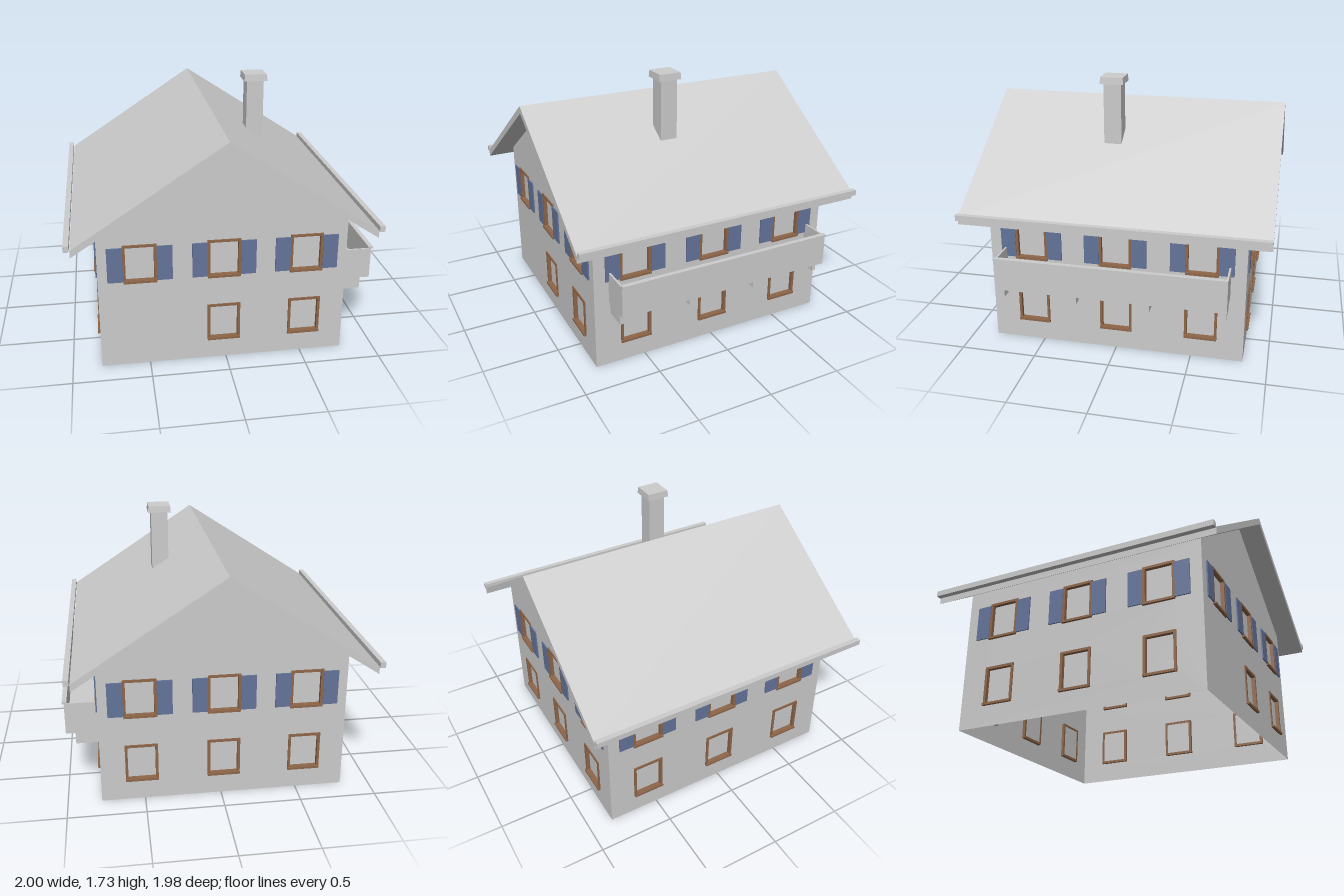
import * as THREE from 'three';

const plaster = new THREE.MeshStandardMaterial({ color: 0xcccccc, side: THREE.DoubleSide });
plaster.name = 'plaster grey';
const wood = new THREE.MeshStandardMaterial({ color: 0x8f674a });
wood.name = 'window wood brown';
const blue = new THREE.MeshStandardMaterial({ color: 0x64749a });
blue.name = 'shutter blue';

const HALF_W = 0.797, HALF_D = 0.84, WALL_H = 0.963, RIDGE = 1.484, SPACING = 0.532;
const WIN_W = 0.212, WIN_H = 0.258, BORDER = 0.017;

function add(parent, name, geometry, material) {
  const mesh = new THREE.Mesh(geometry, material);
  mesh.name = name;
  parent.add(mesh);
  return mesh;
}

// Box given by its lower and upper limits on each axis
function box(parent, name, material, x0, x1, y0, y1, z0, z1) {
  const mesh = add(parent, name, new THREE.BoxGeometry(x1 - x0, y1 - y0, z1 - z0), material);
  mesh.position.set((x0 + x1) / 2, (y0 + y1) / 2, (z0 + z1) / 2);
  return mesh;
}

function polygon(points) {
  return new THREE.Shape(points.map(([x, y]) => new THREE.Vector2(x, y)));
}

// Front-facing profile extruded between two depths
function prism(parent, name, points, z0, z1) {
  const geometry = new THREE.ExtrudeGeometry(polygon(points), { depth: z1 - z0, bevelEnabled: false });
  geometry.translate(0, 0, z0);
  return add(parent, name, geometry, plaster);
}

function rectPoints(w, h) {
  return [[-w / 2, -h / 2], [w / 2, -h / 2], [w / 2, h / 2], [-w / 2, h / 2]];
}

// Recessed pane, wooden frame, sill and optional pair of shutters
function addWindow(wall, x, y, hasShutters) {
  const win = new THREE.Group();
  win.name = 'window';
  win.position.set(x, y, 0);
  wall.add(win);

  const outline = polygon(rectPoints(WIN_W, WIN_H));
  outline.holes.push(polygon(rectPoints(WIN_W - 2 * BORDER, WIN_H - 2 * BORDER)));
  const frame = new THREE.ExtrudeGeometry(outline, { depth: 0.028, bevelEnabled: false });
  frame.translate(0, 0, -0.02);
  add(win, 'windowFrame', frame, wood);
  box(win, 'windowSill', wood, -WIN_W / 2, WIN_W / 2, -WIN_H / 2 - 0.001, -WIN_H / 2 + 0.014, 0, 0.018);

  const pane = add(win, 'windowPane', new THREE.PlaneGeometry(WIN_W - BORDER, WIN_H - BORDER), plaster);
  pane.position.z = -0.018;

  if (!hasShutters) return;
  for (const side of [-1, 1]) {
    const shutter = add(win, 'shutter', new THREE.BoxGeometry(0.098, 0.234, 0.009), blue);
    shutter.position.set(side * (WIN_W / 2 + 0.049), -0.002, 0.0065);
  }
}

// Wall sheet with window openings; local +z is outward
function addWall(house, name, points, spacing, lowerColumns) {
  const wall = new THREE.Group();
  wall.name = name;
  house.add(wall);
  const shape = polygon(points);
  const place = (column, y, hasShutters) => {
    const x = column * spacing;
    const hole = rectPoints(WIN_W - 0.01, WIN_H - 0.01).map(([px, py]) => [px + x, py + y]);
    shape.holes.push(polygon(hole));
    addWindow(wall, x, y, hasShutters);
  };
  for (const column of [-1, 0, 1]) place(column, 0.725, true);
  for (const column of lowerColumns) place(column, 0.268, false);
  add(wall, name + 'Surface', new THREE.ShapeGeometry(shape), plaster);
  return wall;
}

export function createModel() {
  const model = new THREE.Group();
  model.name = 'chalet';
  const house = new THREE.Group();
  house.name = 'house';
  house.position.x = -0.016;
  model.add(house);

  // Walls
  const gable = [[-HALF_W, 0], [HALF_W, 0], [HALF_W, WALL_H], [0, RIDGE], [-HALF_W, WALL_H]];
  const eaveWall = [[-HALF_D, 0], [HALF_D, 0], [HALF_D, WALL_H], [-HALF_D, WALL_H]];
  addWall(house, 'frontWall', gable, SPACING, [0, 1]).position.z = HALF_D;
  const back = addWall(house, 'backWall', gable, SPACING, [-1, 0, 1]);
  back.position.z = -HALF_D;
  back.rotation.y = Math.PI;
  for (const side of [-1, 1]) {
    const wall = addWall(house, side > 0 ? 'leftWall' : 'rightWall', eaveWall, 0.56, [-1, 0, 1]);
    wall.position.x = side * HALF_W;
    wall.rotation.y = side * Math.PI / 2;
  }

  // Roof and gutters
  prism(house, 'roof', [[-0.945, 0.866], [0, RIDGE], [0.945, 0.866],
    [0.945, 0.914], [0, 1.534], [-0.945, 0.914]], -0.99, 0.99);
  for (const side of [-1, 1]) {
    const gutter = box(house, 'gutter', plaster, -0.0175, 0.0175, 0.905, 0.942, -0.99, 0.99);
    gutter.position.x = side * 0.9665;
  }

  // Chimney with a foot cut to the roof slope and a slightly tapered cap
  prism(house, 'chimneyShaft', [[0.261, 1.34], [0.376, 1.265], [0.376, 1.69], [0.261, 1.69]], 0.053, 0.17);
  const capGeometry = new THREE.CylinderGeometry(0.149 / Math.SQRT2, 0.156 / Math.SQRT2, 0.045, 4, 1).toNonIndexed();
  capGeometry.rotateY(Math.PI / 4);
  capGeometry.computeVertexNormals();
  add(house, 'chimneyCap', capGeometry, plaster).position.set(0.3185, 1.712, 0.112);

  // Balcony: floor, parapet, handrail and brackets
  const balcony = new THREE.Group();
  balcony.name = 'balcony';
  house.add(balcony);
  const outer = 1.004, depth = 0.742;
  box(balcony, 'balconyFloor', plaster, HALF_W, outer, 0.457, 0.477, -depth, depth);
  box(balcony, 'balconyFrontPanel', plaster, outer - 0.012, outer, 0.477, 0.668, -depth, depth);
  box(balcony, 'balconyRail', plaster, 0.986, 1.016, 0.666, 0.68, -depth, depth);
  for (const side of [-1, 1]) {
    const panel = box(balcony, 'balconyEndPanel', plaster, HALF_W, outer - 0.012, 0.477, 0.668, -0.006, 0.006);
    panel.position.z = side * (depth - 0.006);
  }
  for (const z of [-0.722, -0.239, 0.239, 0.722]) {
    box(balcony, 'balconyBracket', plaster, HALF_W, 0.943, 0.376, 0.457, z - 0.013, z + 0.013);
  }

  return model;
}
